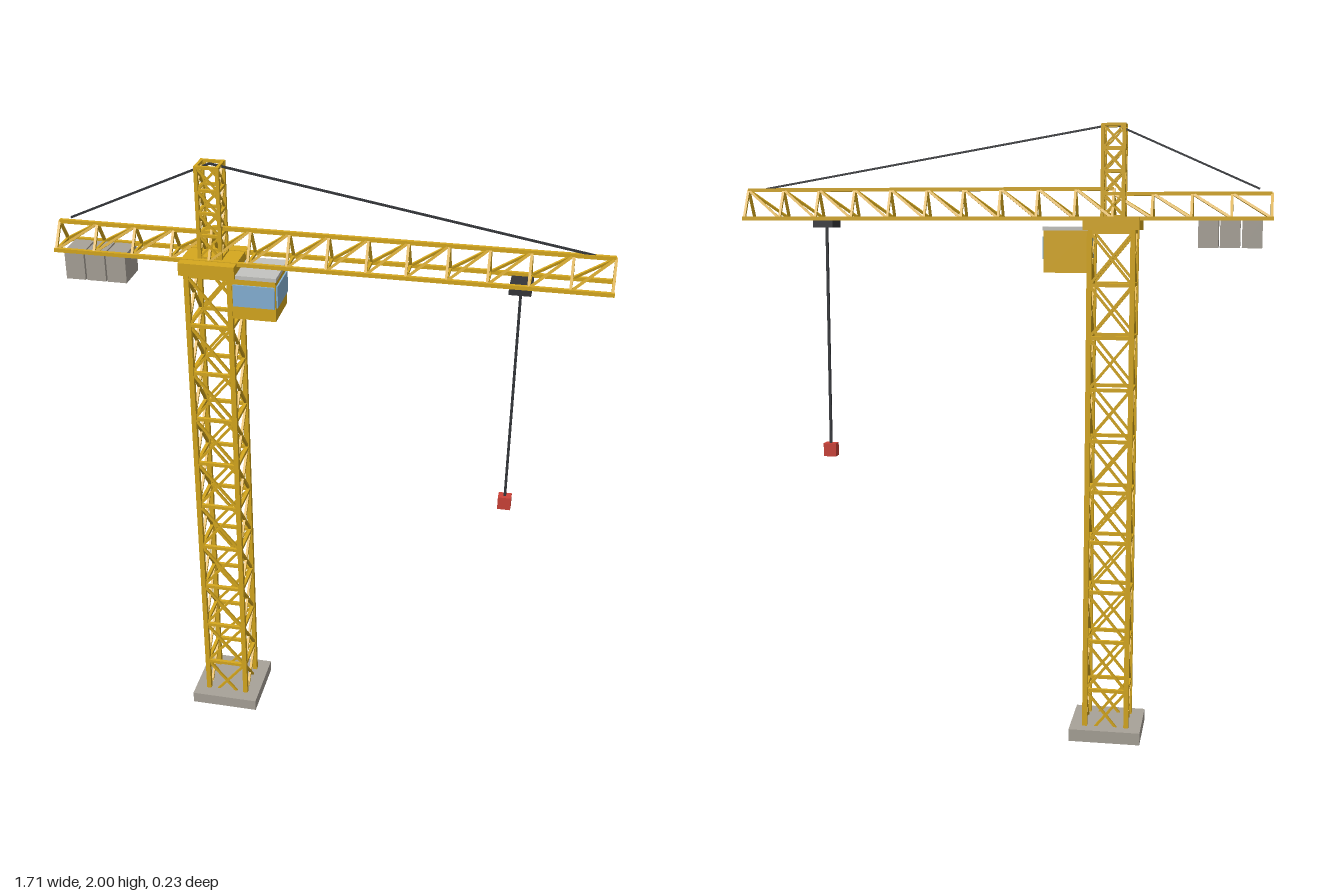
import * as THREE from 'three';
import { mergeGeometries } from 'three/addons/utils/BufferGeometryUtils.js';

const mat = (name, color) => {
  const m = new THREE.MeshStandardMaterial({ color });
  m.name = name;
  return m;
};

const UP = new THREE.Vector3(0, 1, 0);

// Square bar between two points
function bar(a, b, t) {
  const p = new THREE.Vector3(...a), q = new THREE.Vector3(...b);
  const d = q.clone().sub(p);
  const g = new THREE.BoxGeometry(t, d.length(), t);
  g.applyQuaternion(new THREE.Quaternion().setFromUnitVectors(UP, d.normalize()));
  const c = p.add(q).multiplyScalar(0.5);
  return g.translate(c.x, c.y, c.z);
}

// Square lattice column: four posts, rings and crossed braces on each face
function column(cx, half, y0, y1, bays, post, ring, brace) {
  const parts = [];
  const corners = [[-1, -1], [1, -1], [1, 1], [-1, 1]].map(([x, z]) => [cx + x * half, z * half]);
  const step = (y1 - y0) / bays;
  corners.forEach(([x, z], i) => {
    const [u, w] = corners[(i + 1) % 4];
    parts.push(bar([x, y0 - ring / 2, z], [x, y1 + ring / 2, z], post));
    for (let k = 0; k <= bays; k++) {
      const y = y0 + k * step;
      parts.push(bar([x, y, z], [u, y, w], ring));
      if (k === bays) continue;
      parts.push(bar([x, y, z], [u, y + step, w], brace));
      parts.push(bar([u, y, w], [x, y + step, z], brace));
    }
  });
  return mergeGeometries(parts);
}

// Triangular lattice boom: two lower chords, one upper chord, laced per bay
function boom(x0, x1, bays, yLow, yTop, half) {
  const chord = 0.012, lace = 0.008;
  const parts = [bar([x0, yTop, 0], [x1, yTop, 0], chord)];
  const step = (x1 - x0) / bays;
  for (const s of [-1, 1]) {
    const z = s * half;
    parts.push(bar([x0 - chord / 2, yLow, z], [x1 + chord / 2, yLow, z], chord));
    for (let i = 0; i <= bays; i++) {
      const x = x0 + i * step;
      parts.push(bar([x, yLow, z], [x, yTop, 0], lace));
      if (i < bays) parts.push(bar([x, yLow, z], [x + step, yTop, 0], lace));
    }
  }
  for (let i = 0; i <= bays; i++) {
    const x = x0 + i * step;
    parts.push(bar([x, yLow, -half], [x, yLow, half], lace));
  }
  return mergeGeometries(parts);
}

export function createModel() {
  const yellow = mat('crane yellow', 0xd6a81e);
  const concrete = mat('concrete grey', 0xa8a298);
  const roofGrey = mat('roof grey', 0xc4c4c0);
  const glass = mat('window blue', 0x86b2d6);
  const dark = mat('cable dark', 0x34363a);
  const red = mat('hook red', 0xcc4238);

  const model = new THREE.Group();
  const add = (name, geometry, material) => {
    const m = new THREE.Mesh(geometry, material);
    m.name = name;
    model.add(m);
    return m;
  };
  // Box from its minimum and maximum on each axis
  const box = (name, material, [x0, x1], [y0, y1], [z0, z1]) => {
    const m = add(name, new THREE.BoxGeometry(x1 - x0, y1 - y0, z1 - z0), material);
    m.position.set((x0 + x1) / 2, (y0 + y1) / 2, (z0 + z1) / 2);
  };

  const mastX = -0.36;

  // Foundation and mast
  box('foundation', concrete, [mastX - 0.116, mastX + 0.116], [0.012, 0.052], [-0.116, 0.116]);
  add('mast', column(mastX, 0.068, 0.008, 1.664, 10, 0.016, 0.011, 0.008), yellow);

  // Slewing platform and tower head
  box('slewingPlatform', yellow, [mastX - 0.088, mastX + 0.088], [1.67, 1.71], [-0.088, 0.088]);
  add('towerHead', column(mastX, 0.033, 1.712, 1.994, 4, 0.011, 0.009, 0.006), yellow);

  // Jib and counter-jib
  add('jib', boom(mastX, 0.846, 10, 1.706, 1.798, 0.05), yellow);
  add('counterJib', boom(-0.85, mastX, 4, 1.706, 1.782, 0.05), yellow);

  // Counterweight blocks
  for (let i = 0; i < 3; i++) {
    const x = -0.792 + i * 0.067;
    box('counterweight', concrete, [x - 0.031, x + 0.031], [1.615, 1.707], [-0.055, 0.055]);
  }

  // Operator cab with roof and windows
  box('cab', yellow, [-0.288, -0.148], [1.537, 1.668], [-0.074, 0.074]);
  box('cabRoof', roofGrey, [-0.288, -0.145], [1.668, 1.68], [-0.077, 0.077]);
  box('frontWindow', glass, [-0.281, -0.15], [1.58, 1.65], [0.074, 0.079]);
  box('sideWindow', glass, [-0.148, -0.143], [1.58, 1.65], [-0.066, 0.066]);
  box('innerWindow', glass, [-0.292, -0.288], [1.58, 1.65], [-0.066, 0.066]);

  // Tie cables
  add('frontTie', bar([mastX, 1.997, 0], [0.785, 1.802, 0], 0.006), dark);
  add('rearTie', bar([mastX, 1.997, 0], [-0.812, 1.796, 0], 0.006), dark);

  // Trolley, hoist cable and hook block
  const hookX = 0.581;
  box('trolley', dark, [hookX - 0.033, hookX + 0.033], [1.677, 1.702], [-0.045, 0.045]);
  add('hoistCable', bar([hookX, 0.95, 0], [hookX, 1.68, 0], 0.008), dark);
  box('hookBlock', red, [hookX - 0.021, hookX + 0.021], [0.918, 0.962], [-0.017, 0.017]);

  return model;
}
